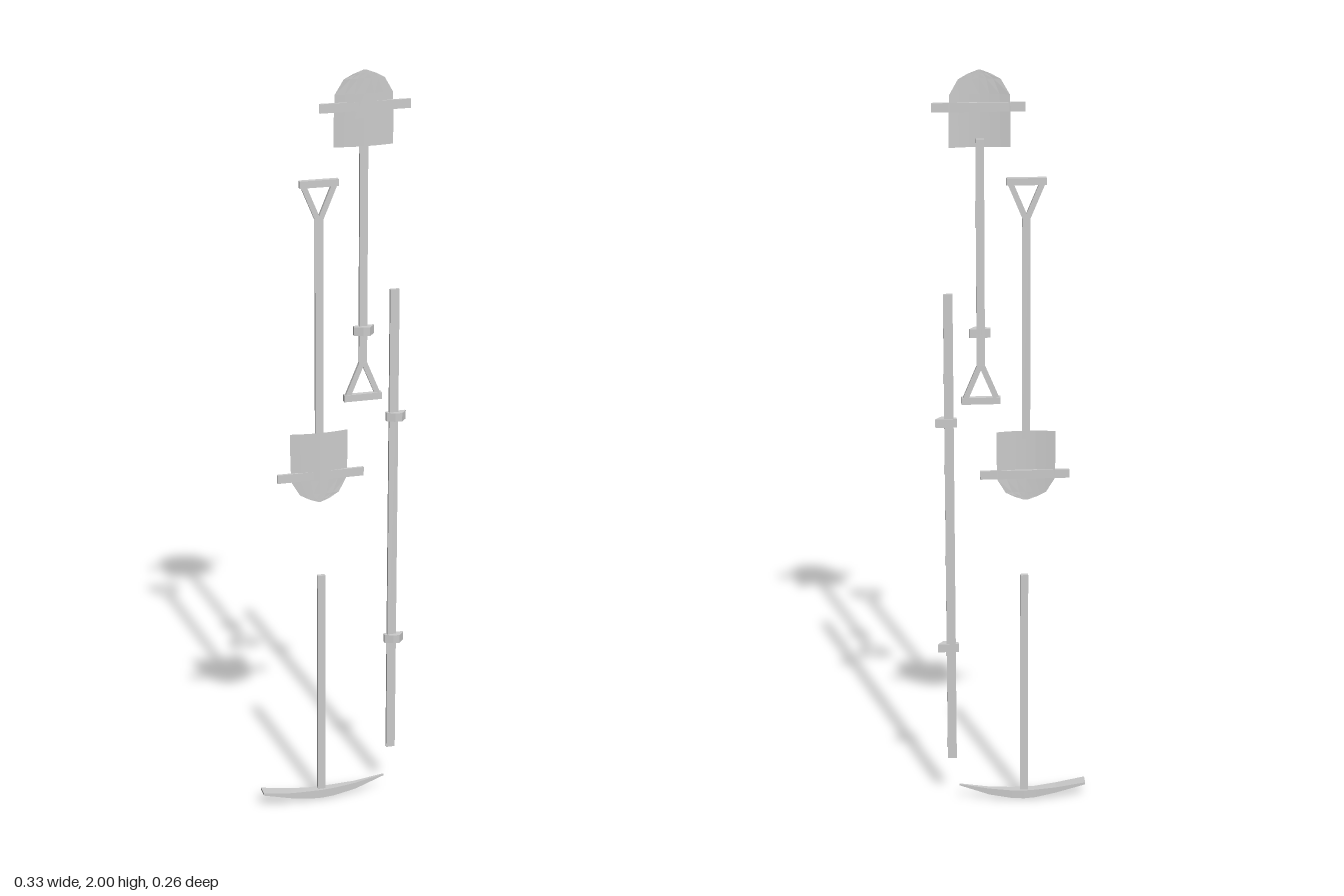
import * as THREE from 'three';

const mat = new THREE.MeshStandardMaterial({ color: 0xcccccc, flatShading: true, side: THREE.DoubleSide });

function add(parent, name, geo, x = 0, y = 0, z = 0) {
  const m = new THREE.Mesh(geo, mat);
  m.name = name;
  m.position.set(x, y, z);
  parent.add(m);
}

// Flat rectangular bar between two points in the XY plane
function strut(parent, name, x0, y0, x1, y1, width, depth) {
  const g = new THREE.BoxGeometry(width, Math.hypot(x1 - x0, y1 - y0), depth);
  g.rotateZ(Math.atan2(y1 - y0, x1 - x0) - Math.PI / 2);
  add(parent, name, g, (x0 + x1) / 2, (y0 + y1) / 2);
}

// Wedge-shaped wall hook: a horizontal outline of [x, z] pairs, extruded upward
function hookGeometry() {
  const outline = [[-0.02, -0.006], [0.033, -0.006], [0.034, -0.003], [0.019, 0.016], [0.002, 0.014], [-0.02, 0.005]];
  const s = new THREE.Shape(outline.map(([x, z]) => new THREE.Vector2(x, -z)));
  const g = new THREE.ExtrudeGeometry(s, { depth: 0.023, bevelEnabled: false });
  return g.rotateX(-Math.PI / 2).translate(0, -0.0115, 0);
}

// Curved blade: rows of [height, half width], bulging forward in the middle
function bladeGeometry() {
  const rows = [[0, 0.004], [0.009, 0.028], [0.022, 0.052], [0.06, 0.074], [0.12, 0.076], [0.191, 0.076]];
  const cols = 6;
  const g = new THREE.PlaneGeometry(1, 1, cols, rows.length - 1);
  const p = g.attributes.position;
  for (let i = 0; i < p.count; i++) {
    const [y, w] = rows[rows.length - 1 - Math.floor(i / (cols + 1))];
    const x = 2 * p.getX(i) * w;
    p.setXYZ(i, x, y, 0.008 * (1 - (x / 0.076) ** 2) - 0.003);
  }
  g.computeVertexNormals();
  return g;
}

// Shovel standing on its tip, grip up
function makeShovel(name, bracketX, bracketY) {
  const s = new THREE.Group();
  s.name = name;
  add(s, 'blade', bladeGeometry());
  strut(s, 'shaft', 0, 0.17, 0, 0.766, 0.021, 0.008);
  for (const side of [-1, 1]) strut(s, 'gripFork', side * 0.003, 0.756, side * 0.04, 0.845, 0.014, 0.009);
  add(s, 'gripBar', new THREE.BoxGeometry(0.1, 0.018, 0.013), 0, 0.849, 0);
  add(s, 'bladeBracket', new THREE.BoxGeometry(0.23, 0.023, 0.007), bracketX, bracketY, 0.001);
  return s;
}

// Pick head swept through stations [x, bottom, top, half depth, centre z]
function pickHeadGeometry() {
  const stations = [
    [-0.19, 0.041, 0.047, 0.017, 0.002], [-0.11, 0.018, 0.034, 0.014, 0], [-0.055, 0.006, 0.029, 0.011, -0.003],
    [-0.024, 0.004, 0.028, 0.011, -0.004], [0.01, 0.006, 0.029, 0.01, -0.004],
    [0.07, 0.016, 0.034, 0.006, -0.003], [0.15, 0.044, 0.048, 0.002, -0.002],
  ];
  const pos = [];
  const e = 4 * (stations.length - 1);
  const idx = [0, 1, 2, 0, 2, 3, e, e + 2, e + 1, e, e + 3, e + 2];
  stations.forEach(([x, b, t, d, c], i) => {
    pos.push(x, b, c - d, x, b, c + d, x, t, c + d, x, t, c - d);
    if (i === 0) return;
    for (let k = 0; k < 4; k++) {
      const a = 4 * (i - 1) + k, n = 4 * (i - 1) + ((k + 1) % 4);
      idx.push(a, a + 4, n, n, a + 4, n + 4);
    }
  });
  const g = new THREE.BufferGeometry();
  g.setAttribute('position', new THREE.Float32BufferAttribute(pos, 3));
  g.setIndex(idx);
  const flat = g.toNonIndexed();
  flat.computeVertexNormals();
  return flat;
}

export function createModel() {
  const root = new THREE.Group();
  root.name = 'toolSet';

  // Everything hangs in one vertical plane turned about y
  const rack = new THREE.Group();
  rack.name = 'rack';
  rack.rotation.y = THREE.MathUtils.degToRad(36);
  root.add(rack);

  // Upper shovel, blade up, resting on a hook above its grip
  const upper = makeShovel('upperShovel', -0.003, 0.091);
  upper.rotation.z = Math.PI;
  upper.position.set(0.087, 2, -0.007);
  rack.add(upper);
  add(rack, 'shovelHook', hookGeometry(), 0.082, 1.331, -0.005);

  // Lower shovel, blade down
  const lower = makeShovel('lowerShovel', 0.003, 0.073);
  lower.position.set(-0.028, 0.873, -0.007);
  rack.add(lower);

  // Long pole with two hooks
  const pole = new THREE.Group();
  pole.name = 'pole';
  pole.position.set(0.169, 0, -0.004);
  rack.add(pole);
  strut(pole, 'poleShaft', 0, 0.13, 0, 1.434, 0.024, 0.008);
  for (const y of [0.458, 1.091]) add(pole, 'poleHook', hookGeometry(), 0, y, 0);

  // Pickaxe standing on its head
  const pick = new THREE.Group();
  pick.name = 'pickaxe';
  rack.add(pick);
  add(pick, 'pickHead', pickHeadGeometry());
  add(pick, 'pickHandle', new THREE.BoxGeometry(0.021, 0.65, 0.01), -0.024, 0.338, -0.005);

  return root;
}
